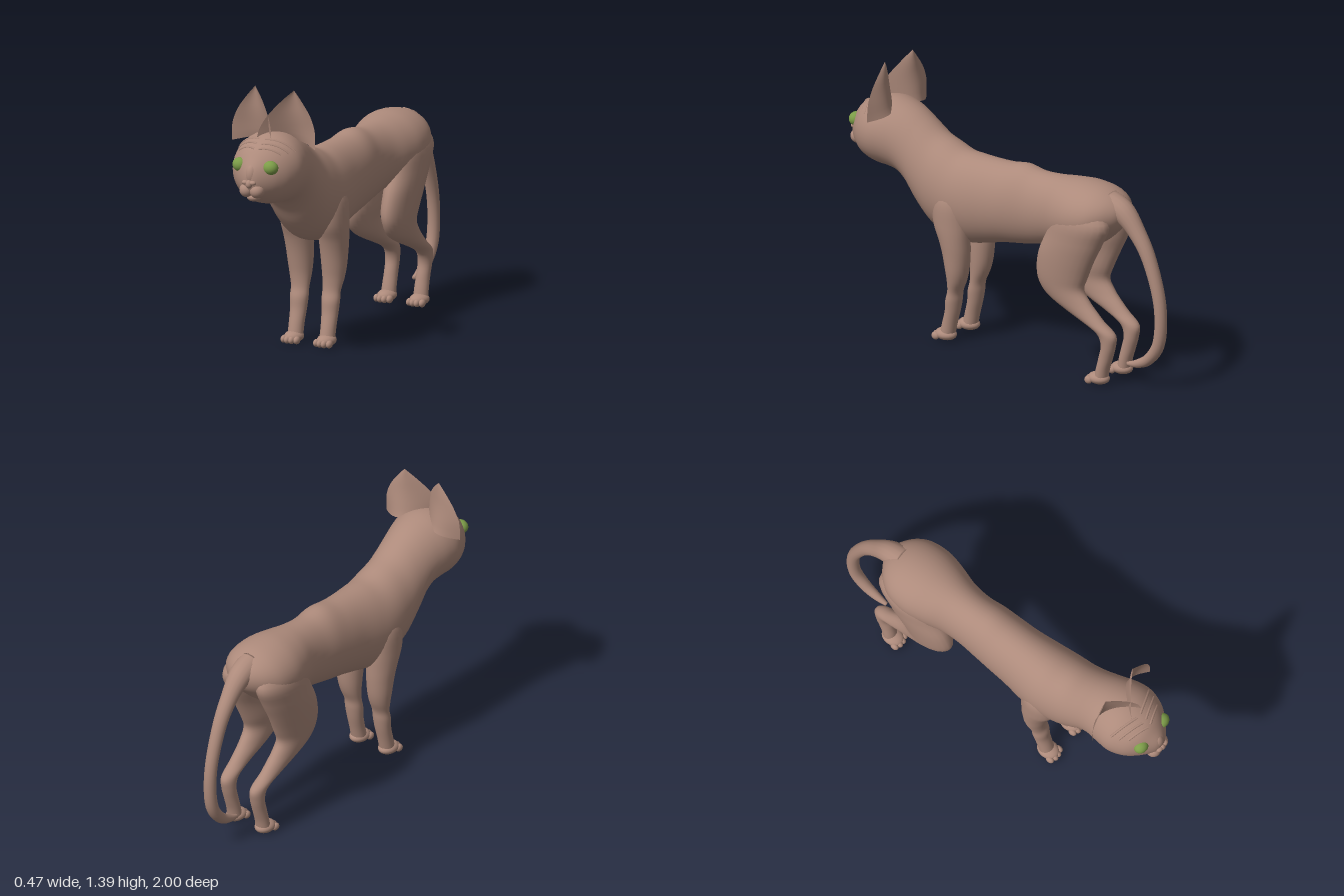
import * as THREE from 'three';

const skin = new THREE.MeshStandardMaterial({ color: 0xad8a7b });
skin.name = 'skin';
const earSkin = new THREE.MeshStandardMaterial({ color: 0xad8a7b, side: THREE.DoubleSide });
earSkin.name = 'ear skin';
const iris = new THREE.MeshStandardMaterial({ color: 0x7c9c48 });
iris.name = 'green eye';

const V = (x, y, z) => new THREE.Vector3(x, y, z);

// Smooth interpolation through the rows of a profile, t from 0 to 1
function sample(rows, t) {
  const f = t * (rows.length - 1), i = Math.min(Math.floor(f), rows.length - 2), w = f - i;
  const at = (k) => rows[Math.max(0, Math.min(rows.length - 1, k))];
  const [a, b, c, d] = [at(i - 1), at(i), at(i + 1), at(i + 2)];
  return b.map((p, k) => p + 0.5 * w * (c[k] - a[k]
    + w * (2 * a[k] - 5 * p + 4 * c[k] - d[k] + w * (3 * (p - c[k]) + d[k] - a[k]))));
}

// Closed skin over elliptical rings; ring(t) gives centre c and half axes u, v
function loft(ring, steps, sides) {
  const pos = [], index = [];
  for (let i = -1; i <= steps + 1; i++) {
    const { c, u, v } = ring(Math.max(0, Math.min(1, i / steps)));
    const k = i < 0 || i > steps ? 0.001 : 1;
    for (let j = 0; j < sides; j++) {
      const a = (j / sides) * Math.PI * 2;
      const p = c.clone().addScaledVector(u, k * Math.cos(a)).addScaledVector(v, k * Math.sin(a));
      pos.push(p.x, p.y, p.z);
    }
  }
  for (let i = 0; i < steps + 2; i++) for (let j = 0; j < sides; j++) {
    const a = i * sides + j, b = i * sides + (j + 1) % sides;
    index.push(a, b, a + sides, b, b + sides, a + sides);
  }
  const g = new THREE.BufferGeometry();
  g.setAttribute('position', new THREE.Float32BufferAttribute(pos, 3));
  g.setIndex(index);
  g.computeVertexNormals();
  return g;
}

// Rows: z, top, bottom, half width (rump to muzzle)
const trunk = [
  [-0.745, 0.925, 0.88, 0.025], [-0.72, 0.96, 0.83, 0.08], [-0.67, 0.995, 0.78, 0.14],
  [-0.6, 1.02, 0.72, 0.18], [-0.5, 1.03, 0.68, 0.19], [-0.4, 1.022, 0.66, 0.17],
  [-0.3, 1.01, 0.645, 0.14], [-0.2, 1.006, 0.62, 0.132], [-0.1, 1.02, 0.598, 0.139],
  [0, 1.005, 0.58, 0.145], [0.1, 1.0, 0.555, 0.15], [0.2, 1.0, 0.53, 0.162],
  [0.28, 1.003, 0.53, 0.17], [0.36, 1.03, 0.545, 0.17], [0.44, 1.06, 0.58, 0.165],
  [0.52, 1.11, 0.66, 0.16], [0.58, 1.145, 0.745, 0.16], [0.64, 1.17, 0.8, 0.168],
  [0.71, 1.187, 0.82, 0.182], [0.78, 1.185, 0.825, 0.186], [0.85, 1.16, 0.84, 0.163],
  [0.9, 1.13, 0.865, 0.128], [0.94, 1.085, 0.89, 0.085], [0.97, 1.045, 0.92, 0.045],
  [0.982, 1.015, 0.945, 0.02],
];
const trunkRing = (t) => {
  const [z, top, bottom, w] = sample(trunk, t);
  return { c: V(0, (top + bottom) / 2, z), u: V(w, 0, 0), v: V(0, (top - bottom) / 2, 0) };
};

// Rows: y, front z, back z, inner x, outer x (top to bottom)
const foreLeg = [
  [0.86, 0.36, 0.23, 0.06, 0.13], [0.76, 0.39, 0.2, 0.04, 0.175], [0.64, 0.39, 0.19, 0.03, 0.18],
  [0.55, 0.355, 0.19, 0.025, 0.175], [0.48, 0.335, 0.192, 0.026, 0.168], [0.4, 0.32, 0.2, 0.03, 0.16],
  [0.34, 0.312, 0.215, 0.035, 0.15], [0.28, 0.312, 0.24, 0.04, 0.138], [0.23, 0.326, 0.245, 0.04, 0.138],
  [0.17, 0.332, 0.255, 0.045, 0.133], [0.1, 0.35, 0.272, 0.05, 0.13], [0.04, 0.365, 0.285, 0.05, 0.13],
];
const hindLeg = [
  [0.97, -0.42, -0.62, 0.05, 0.13], [0.86, -0.37, -0.71, 0.02, 0.188], [0.75, -0.33, -0.67, 0.02, 0.192],
  [0.65, -0.285, -0.62, 0.03, 0.187], [0.55, -0.265, -0.575, 0.03, 0.177], [0.48, -0.28, -0.552, 0.04, 0.167],
  [0.42, -0.33, -0.59, 0.045, 0.157], [0.37, -0.43, -0.64, 0.05, 0.147], [0.33, -0.53, -0.685, 0.055, 0.14],
  [0.28, -0.635, -0.748, 0.055, 0.132], [0.22, -0.665, -0.745, 0.055, 0.128],
  [0.15, -0.65, -0.725, 0.055, 0.126], [0.09, -0.635, -0.705, 0.053, 0.128], [0.04, -0.625, -0.695, 0.052, 0.13],
];
const legRing = (rows, s) => (t) => {
  const [y, f, b, i, o] = sample(rows, t);
  return { c: V(s * (i + o) / 2, y, (f + b) / 2), u: V((o - i) / 2, 0, 0), v: V(0, 0, (f - b) / 2) };
};

// Rows: z, y, radius (root to tip)
const tail = [
  [-0.64, 0.94, 0.07], [-0.73, 0.91, 0.06], [-0.81, 0.83, 0.045], [-0.887, 0.71, 0.037],
  [-0.95, 0.53, 0.033], [-0.968, 0.38, 0.032], [-0.95, 0.25, 0.032], [-0.89, 0.165, 0.029],
  [-0.82, 0.125, 0.022], [-0.755, 0.11, 0.01],
];
const tailRing = (t) => {
  const [z, y, r] = sample(tail, t);
  const a = sample(tail, Math.max(0, t - 0.01)), b = sample(tail, Math.min(1, t + 0.01));
  const d = V(0, b[1] - a[1], b[0] - a[0]).normalize();
  return { c: V(0, y, z), u: V(r, 0, 0), v: d.cross(V(1, 0, 0)).multiplyScalar(r) };
};

// Curved ear sheet between an inner and an outer edge that meet at the tip
function earGeometry(s) {
  const inner = [[-0.04, 1.165, 0.825], [-0.03, 1.215, 0.81], [0, 1.275, 0.785], [0.055, 1.345, 0.745], [0.11, 1.4, 0.712]];
  const outer = [[0.235, 1.11, 0.725], [0.233, 1.2, 0.722], [0.205, 1.275, 0.718], [0.16, 1.34, 0.715], [0.11, 1.4, 0.712]];
  const g = new THREE.PlaneGeometry(1, 1, 14, 14), p = g.attributes.position;
  for (let i = 0; i < p.count; i++) {
    const u = p.getX(i) + 0.5, t = p.getY(i) + 0.5;
    const a = sample(inner, t), b = sample(outer, t);
    const [x, y, z] = a.map((k, n) => k + (b[n] - k) * u);
    p.setXYZ(i, s * x, y, z - 0.1 * Math.sin(Math.PI * u) * (1 - t));
  }
  g.computeVertexNormals();
  return g;
}

export function createModel() {
  const model = new THREE.Group();
  const add = (name, geometry, material = skin) => {
    const m = new THREE.Mesh(geometry, material);
    m.name = name;
    model.add(m);
    return m;
  };
  const blob = (name, x, y, z, rx, ry, rz, material = skin) => {
    const m = add(name, new THREE.SphereGeometry(1, 24, 16), material);
    m.position.set(x, y, z);
    m.scale.set(rx, ry, rz);
    return m;
  };

  add('bodyAndHead', loft(trunkRing, 110, 40));
  add('tail', loft(tailRing, 50, 16));

  for (const s of [1, -1]) {
    const side = s > 0 ? 'left' : 'right';
    add(side + 'ForeLeg', loft(legRing(foreLeg, s), 48, 24));
    add(side + 'HindLeg', loft(legRing(hindLeg, s), 56, 24));

    // Paws with four toes each
    for (const [name, z] of [['ForePaw', 0.335], ['HindPaw', -0.645]]) {
      blob(side + name, s * 0.092, 0.036, z, 0.048, 0.031, 0.06);
      for (let k = 0; k < 4; k++) {
        const o = k - 1.5;
        blob(side + name + 'Toe', s * 0.092 + o * 0.024, 0.026, z + 0.052 - Math.abs(o) * 0.009, 0.016, 0.02, 0.023);
      }
    }

    // Face
    add(side + 'Ear', earGeometry(s), earSkin);
    blob(side + 'Eye', s * 0.085, 1.043, 0.915, 0.041, 0.036, 0.036, iris);
    blob(side + 'MuzzlePad', s * 0.029, 0.926, 0.95, 0.038, 0.037, 0.038);
    blob(side + 'Nostril', s * 0.021, 0.972, 0.982, 0.018, 0.012, 0.015);

    // Forehead wrinkles lying on the head
    for (const [z0, z1, a1] of [[0.9, 0.86, 0.75], [0.87, 0.82, 0.85], [0.835, 0.78, 0.9]]) {
      const pts = [];
      for (let k = 0; k <= 8; k++) {
        const z = z0 + (z1 - z0) * (k / 8), a = 0.08 + a1 * (k / 8);
        const n = trunk.findIndex((r) => r[0] > z) - 1;
        const w = (z - trunk[n][0]) / (trunk[n + 1][0] - trunk[n][0]);
        const { c, u, v } = trunkRing((n + w) / (trunk.length - 1));
        pts.push(V(s * u.x * Math.sin(a), c.y + v.y * Math.cos(a) - 0.003, z));
      }
      add(side + 'Wrinkle', new THREE.TubeGeometry(new THREE.CatmullRomCurve3(pts), 16, 0.007, 8));
    }
  }

  blob('noseBridge', 0, 1.005, 0.95, 0.034, 0.055, 0.036);
  blob('noseTip', 0, 0.964, 0.98, 0.018, 0.022, 0.02);
  blob('chin', 0, 0.888, 0.93, 0.036, 0.022, 0.034);
  return model;
}
